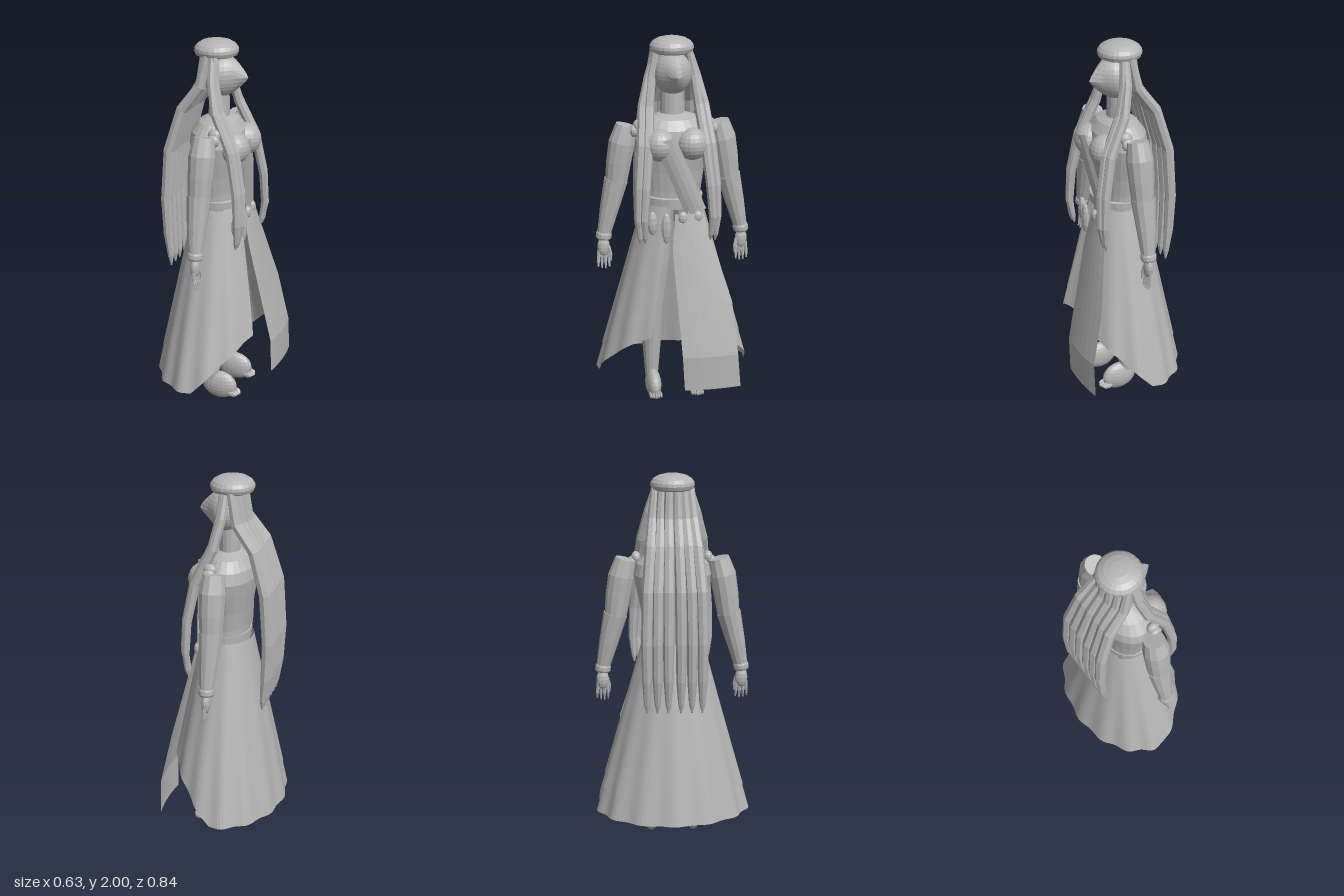
import * as THREE from 'three';

const clay = new THREE.MeshStandardMaterial({ color: 0xb4b4b4 });
clay.name = 'clay grey';
clay.flatShading = true;
const cloth = clay.clone();
cloth.name = 'cloth grey';
cloth.side = THREE.DoubleSide;

// Grid of points from a rule (i along, j across), open sheet
function sheet(rows, cols, rule) {
  const pos = [], idx = [];
  for (let i = 0; i <= rows; i++)
    for (let j = 0; j <= cols; j++) pos.push(...rule(i / rows, j / cols));
  for (let i = 0; i < rows; i++)
    for (let j = 0; j < cols; j++) {
      const a = i * (cols + 1) + j, c = a + cols + 1;
      idx.push(a, a + 1, c, a + 1, c + 1, c);
    }
  const g = new THREE.BufferGeometry();
  g.setAttribute('position', new THREE.Float32BufferAttribute(pos, 3));
  g.setIndex(idx);
  g.computeVertexNormals();
  return g;
}

// Capped tube through [x, y, z, radius] points
function taper(pts, sides = 8) {
  const P = pts.map(p => new THREE.Vector3(p[0], p[1], p[2]));
  const pos = [], idx = [], n = P.length;
  P.forEach((p, i) => {
    const t = P[Math.min(i + 1, n - 1)].clone().sub(P[Math.max(i - 1, 0)]).normalize();
    const u = new THREE.Vector3(1, 0, 0).addScaledVector(t, -t.x).normalize();
    const v = t.clone().cross(u);
    for (let j = 0; j < sides; j++) {
      const a = j / sides * Math.PI * 2;
      const q = p.clone().addScaledVector(u, pts[i][3] * Math.cos(a)).addScaledVector(v, pts[i][3] * Math.sin(a));
      pos.push(q.x, q.y, q.z);
    }
  });
  pos.push(...P[0].toArray(), ...P[n - 1].toArray());
  const s = n * sides;
  for (let j = 0; j < sides; j++) {
    const k = (j + 1) % sides;
    for (let i = 0; i < n - 1; i++) {
      const a = i * sides + j, b = i * sides + k;
      idx.push(a, b, a + sides, b, b + sides, a + sides);
    }
    idx.push(s, k, j, s + 1, s - sides + j, s - sides + k);
  }
  const g = new THREE.BufferGeometry();
  g.setAttribute('position', new THREE.Float32BufferAttribute(pos, 3));
  g.setIndex(idx);
  g.computeVertexNormals();
  return g;
}

// Skirt layer, open in front, with the hem rising to the opening
function skirtLayer(hemY, opening, scale) {
  return sheet(14, 96, (r, s) => {
    const spot = (y) => {
      const t = (1.13 - y) / 0.967;
      const edge = opening + 0.17 * t;
      const a = edge + s * 2 * (Math.PI - edge);
      const c = Math.cos(a);
      const w = scale * (1 + 0.022 * t * Math.cos(14 * a));
      const x = (c > 0 ? 0.148 + 0.2 * t : 0.125 + 0.187 * t) * c;
      return { x, p: [x * w, y, (0.155 + 0.263 * t) * Math.sin(a) * w] };
    };
    let hem = hemY;
    for (let k = 0; k < 10; k++) hem = hemY + 1.1 * THREE.MathUtils.clamp(spot(hem).x, 0, 0.26);
    return spot(1.13 + (hem - 1.13) * r).p;
  });
}

export function createModel() {
  const model = new THREE.Group();
  model.name = 'robedFigure';
  const add = (name, geo, mat = clay) => {
    const m = new THREE.Mesh(geo, mat);
    m.name = name;
    model.add(m);
    return m;
  };
  const ball = (name, x, y, z, rx, ry, rz, seg = 20) => {
    const m = add(name, new THREE.SphereGeometry(1, seg, Math.ceil(seg * 0.6)));
    m.position.set(x, y, z);
    m.scale.set(rx, ry, rz);
  };
  const lathe = (name, profile, sx, seg = 24) => {
    const m = add(name, new THREE.LatheGeometry(profile.map(p => new THREE.Vector2(...p)), seg));
    m.scale.x = sx;
    return m;
  };

  // Head with a pointed nose ridge facing +x
  const head = new THREE.SphereGeometry(1, 24, 16), hp = head.attributes.position;
  for (let i = 0; i < hp.count; i++) {
    const x = hp.getX(i), y = hp.getY(i), z = hp.getZ(i);
    const ridge = 0.055 * Math.max(0, x) * Math.max(0, 1 - 1.7 * Math.abs(z)) * (1 - Math.abs(y));
    hp.setXYZ(i, 0.012 + 0.092 * x + ridge + 0.012 * y * Math.max(0, x), 1.812 + 0.112 * y, 0.1 * z);
  }
  head.computeVertexNormals();
  add('head', head);
  lathe('cap', [[0, 1.915], [0.09, 1.914], [0.108, 1.922], [0.115, 1.94], [0.113, 1.955], [0.1, 1.973],
    [0.075, 1.988], [0.04, 1.997], [0, 2]], 1).position.x = -0.015;
  lathe('neck', [[0.065, 1.56], [0.06, 1.74]], 0.85, 16);

  // Torso and belt
  lathe('torso', [[0.15, 1.1], [0.155, 1.2], [0.17, 1.3], [0.192, 1.4], [0.205, 1.47],
    [0.19, 1.53], [0.14, 1.58], [0.07, 1.605], [0, 1.605]], 0.7);
  lathe('belt', [[0.14, 1.115], [0.158, 1.12], [0.16, 1.168], [0.14, 1.172]], 0.8).position.x = 0.014;

  // Diagonal chest sash, lying over the left breast
  add('sash', sheet(8, 4, (t, s) => {
    const w = s - 0.5;
    return [0.192 - 0.045 * t - 0.06 * w * w, 1.5 - 0.41 * t - 0.04 * w, 0.07 - 0.175 * t + 0.105 * w];
  }), cloth);

  // Long skirt and the shorter layer over it
  add('skirt', skirtLayer(0.163, 0.36, 1), cloth);
  add('overskirt', skirtLayer(0.3, 0.62, 1.012), cloth);

  // Long front panel, slightly bowed
  add('frontPanel', sheet(10, 6, (t, s) => {
    const z0 = t < 0.2 ? 0.01 + 0.1 * t : 0.03 - 0.055 * (t - 0.2);
    const z1 = -0.14 - 0.28 * Math.min(t, 0.5) - 0.08 * Math.max(0, t - 0.5);
    const x = 0.155 + 0.16 * Math.min(1, t / 0.8);
    return [x - 0.012 * (2 * s - 1) ** 2, 1.09 - 0.945 * t, z0 + (z1 - z0) * s];
  }), cloth);

  // Waist tassels
  for (const [x, z, y, h] of [[0.16, 0.06, 1.02, 0.085], [0.143, 0.13, 1.045, 0.065],
    [0.15, -0.03, 1.07, 0.035], [0.145, -0.11, 1.07, 0.035]])
    ball('waistTassel', x, y, z, 0.02, h, 0.027, 10);

  // Hair falling down the back
  for (const z of [-0.145, -0.09, -0.033, 0.033, 0.09, 0.145]) {
    const k = Math.abs(z) * 0.25;
    add('backHairStrand', taper([
      [-0.085 + k * 1.5, 1.93, z * 0.62, 0.022], [-0.1 + k, 1.77, z * 0.72, 0.029], [-0.16, 1.64, z * 0.82, 0.031],
      [-0.225, 1.42, z * 0.95, 0.032], [-0.243, 1.15, z, 0.03], [-0.235, 0.95, z, 0.026],
      [-0.222, 0.82, z, 0.016], [-0.22, 0.77, z, 0.004]]));
  }

  for (const s of [1, -1]) {
    const side = s > 0 ? 'left' : 'right';
    ball(side + 'Breast', 0.115, 1.46, s * 0.085, 0.082, 0.085, 0.085);

    // Front hair locks, two per side
    for (const [d, e] of [[0, 0], [-0.012, 0.032]])
      add(side + 'FrontLock', taper([
        [0.01 + d, 1.93, s * 0.085, 0.02], [0.02 + d, 1.8, s * (0.112 + e * 0.4), 0.024],
        [0.055 + d, 1.65, s * (0.13 + e), 0.026], [0.145 + d, 1.46, s * (0.15 + e), 0.027],
        [0.185 + d, 1.25, s * (0.17 + e), 0.025], [0.193 + d, 1.08, s * (0.182 + e * 0.8), 0.022],
        [0.175, 0.98, s * (0.175 + e * 0.8), 0.014], [0.17, 0.945, s * (0.173 + e * 0.8), 0.004]]));

    // Shoulder beads
    ball(side + 'ShoulderBead', 0.05, 1.55, s * 0.19, 0.036, 0.033, 0.026, 12);
    ball(side + 'ShoulderBead', 0.05, 1.525, s * 0.212, 0.036, 0.033, 0.024, 12);

    // Sleeved arm and cuff
    add(side + 'UpperArm', taper([[0.015, 1.55, s * 0.245, 0.055], [0.015, 1.46, s * 0.268, 0.07],
      [0.014, 1.35, s * 0.287, 0.066], [0.012, 1.23, s * 0.303, 0.058]], 12));
    add(side + 'Forearm', taper([[0.012, 1.255, s * 0.302, 0.064], [0.014, 1.1, s * 0.34, 0.051],
      [0.018, 0.96, s * 0.372, 0.036]], 12));
    add(side + 'Cuff', taper([[0.018, 0.975, s * 0.37, 0.038], [0.018, 0.965, s * 0.371, 0.042],
      [0.018, 0.945, s * 0.374, 0.042], [0.018, 0.935, s * 0.375, 0.036]], 14));

    // Hand with fingers and thumb
    ball(side + 'Palm', 0.019, 0.89, s * 0.375, 0.024, 0.055, 0.034, 12);
    for (let f = 0; f < 4; f++) {
      const z = 0.352 + f * 0.016, tip = 0.768 + Math.abs(f - 1.3) * 0.008;
      add(side + 'Finger', taper([[0.02, 0.87, s * z, 0.01], [0.024, 0.815, s * (z + (f - 1.5) * 0.003), 0.009],
        [0.032, tip, s * (z + (f - 1.5) * 0.004), 0.004]], 6));
    }
    add(side + 'Thumb', taper([[0.025, 0.895, s * 0.35, 0.011], [0.033, 0.85, s * 0.338, 0.009],
      [0.036, 0.815, s * 0.338, 0.004]], 6));

    // Leg, foot and toes
    add(side + 'Leg', taper([[0.01, 1.1, s * 0.08, 0.075], [0.01, 0.8, s * 0.095, 0.08], [0.01, 0.5, s * 0.115, 0.062],
      [0.008, 0.38, s * 0.117, 0.056], [0.008, 0.12, s * 0.118, 0.036]], 14));
    ball(side + 'Foot', 0.05, 0.08, s * 0.116, 0.1, 0.08, 0.043);
    for (let k = 0; k < 5; k++)
      ball(side + 'Toe', 0.145 - Math.abs(k - 2) * 0.006, 0.045, s * 0.116 + (k - 2) * 0.014, 0.03, 0.015, 0.009, 8);
  }
  return model;
}
